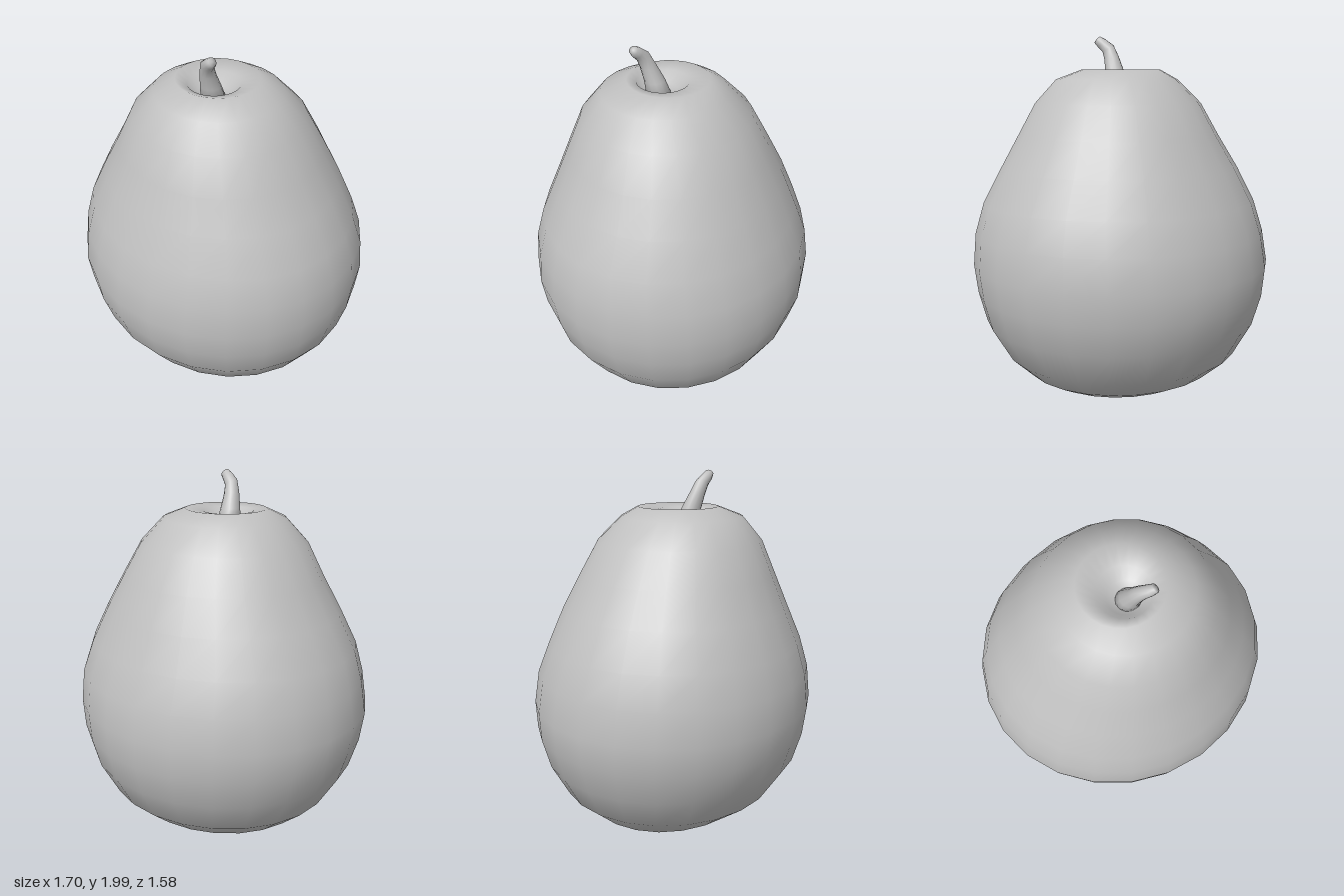
import * as THREE from 'three';

// Skin a stack of closed rings (bottom to top, counterclockwise from above) with smooth normals and closed ends.
function skin(rings, start, end) {
  const n = rings[0].length;
  const points = [...rings.flat(), start, end];
  const index = [];
  const first = points.length - 2;
  const last = points.length - 1;
  for (let j = 0; j < n; j++) {
    const k = (j + 1) % n;
    for (let i = 0; i < rings.length - 1; i++) {
      const a = i * n + j, b = i * n + k;
      index.push(a, b, b + n, a, b + n, a + n);
    }
    const top = (rings.length - 1) * n;
    index.push(first, k, j, last, top + j, top + k);
  }
  const geometry = new THREE.BufferGeometry().setFromPoints(points);
  geometry.setIndex(index);
  geometry.computeVertexNormals();
  return geometry;
}

// Body rows: y, min x, max x, back z, front z, extra lift at the front
const bodyRows = [
  [0.10, -0.06, 0.06, -0.06, 0.06, 0],
  [0.07, -0.13, 0.13, -0.13, 0.13, 0.01],
  [0.01, -0.26, 0.29, -0.25, 0.24, 0.04],
  [0.04, -0.42, 0.44, -0.40, 0.37, 0.04],
  [0.10, -0.54, 0.55, -0.51, 0.47, 0.02],
  [0.215, -0.67, 0.67, -0.64, 0.60, 0],
  [0.40, -0.78, 0.78, -0.735, 0.72, 0],
  [0.57, -0.83, 0.825, -0.78, 0.77, 0],
  [0.73, -0.85, 0.845, -0.785, 0.79, 0],
  [0.91, -0.82, 0.83, -0.76, 0.77, 0],
  [1.08, -0.77, 0.78, -0.69, 0.72, 0],
  [1.27, -0.67, 0.68, -0.61, 0.64, 0],
  [1.45, -0.56, 0.58, -0.52, 0.565, 0],
  [1.63, -0.46, 0.48, -0.42, 0.49, 0],
  [1.76, -0.33, 0.36, -0.29, 0.38, 0],
  [1.813, -0.23, 0.22, -0.19, 0.25, 0],
  [1.795, -0.14, 0.14, -0.08, 0.20, 0],
  [1.74, -0.09, 0.10, -0.02, 0.16, 0],
];

function bodyRing([y, x0, x1, z0, z1, lift]) {
  return Array.from({ length: 24 }, (_, j) => {
    const a = (j / 24) * Math.PI * 2;
    const c = Math.cos(a), s = Math.sin(a);
    return new THREE.Vector3(
      (x0 + x1) / 2 + (s * (x1 - x0)) / 2,
      y + lift * Math.max(0, c) ** 2,
      (z0 + z1) / 2 + (c * (z1 - z0)) / 2,
    );
  });
}

// Stem stations: centre x, y, z, radius, tilt of the ring toward +x
const stemRows = [
  [0.01, 1.71, 0.075, 0.068, 0],
  [0.015, 1.80, 0.10, 0.055, 0.05],
  [0.028, 1.88, 0.13, 0.043, 0.2],
  [0.045, 1.935, 0.15, 0.037, 0.5],
  [0.08, 1.965, 0.165, 0.031, 0.8],
  [0.105, 1.985, 0.172, 0.024, 0.85],
];

function stemRing([x, y, z, r, tilt]) {
  return Array.from({ length: 12 }, (_, j) => {
    const a = (j / 12) * Math.PI * 2;
    return new THREE.Vector3(Math.sin(a) * r, 0, Math.cos(a) * r)
      .applyAxisAngle(new THREE.Vector3(0, 0, 1), -tilt)
      .add(new THREE.Vector3(x, y, z));
  });
}

export function createModel() {
  const group = new THREE.Group();
  group.name = 'pear';
  const grey = new THREE.MeshStandardMaterial({ color: 0xc0c0c0 });
  grey.name = 'plain grey';

  // Fruit with a hollow at both ends
  const body = new THREE.Mesh(
    skin(bodyRows.map(bodyRing), new THREE.Vector3(0, 0.09, 0), new THREE.Vector3(0.01, 1.72, 0.075)),
    grey,
  );
  body.name = 'body';

  // Bent, tapering stem
  const stem = new THREE.Mesh(
    skin(stemRows.map(stemRing), new THREE.Vector3(0.01, 1.71, 0.075), new THREE.Vector3(0.108, 1.988, 0.173)),
    grey,
  );
  stem.name = 'stem';

  group.add(body, stem);
  return group;
}
